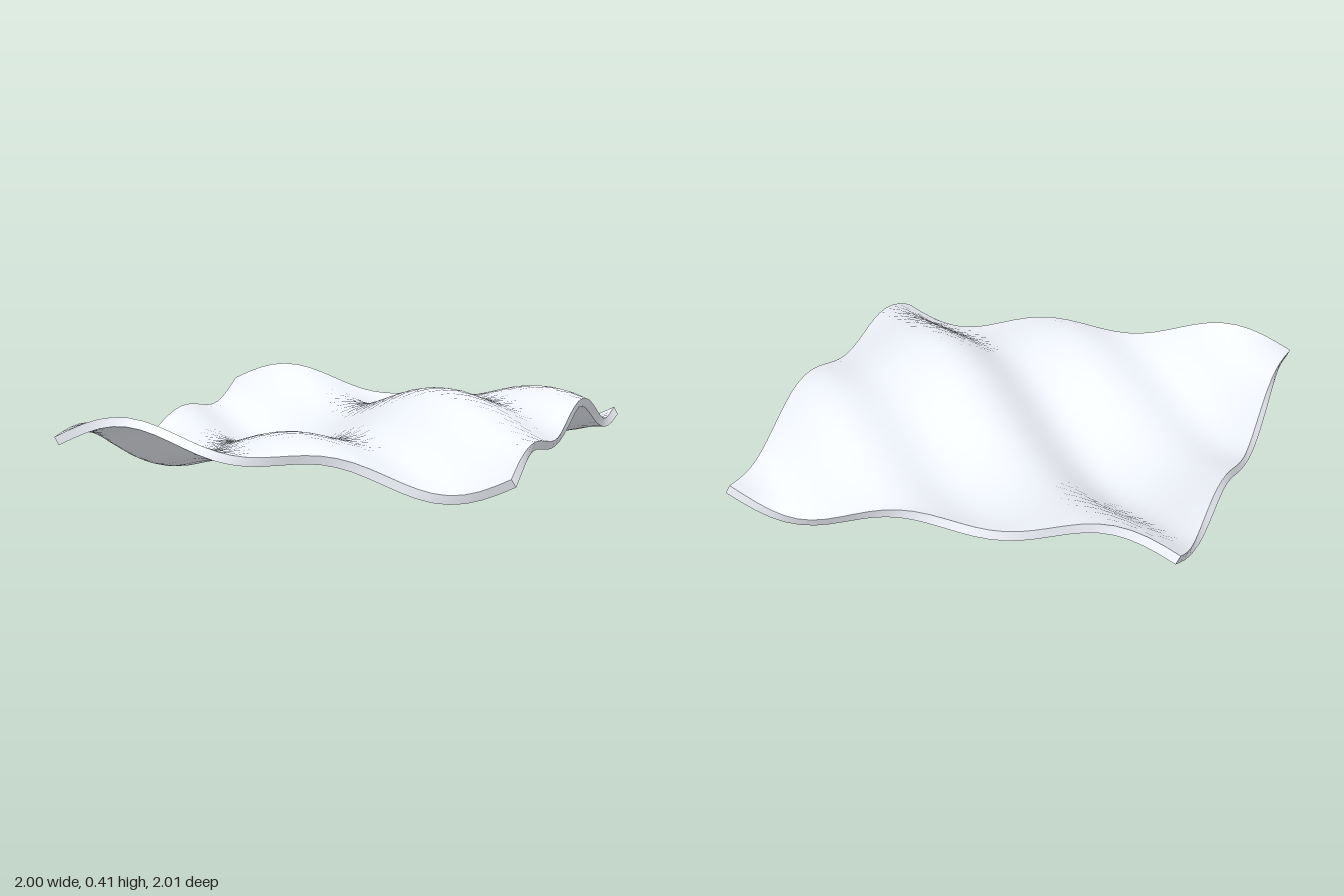
import * as THREE from 'three';

const HALF = 0.993, THICK = 0.04, MID = 0.205, SEGMENTS = 30;

// Height of the middle surface: a broad swell plus a diagonal ripple
const height = (x, z) =>
  0.158 * Math.sin(2.65 * x) * Math.cos(2.08 * z) + 0.05 * Math.sin(6.45 * (x - z));

// Unit normal of the middle surface
function normalAt(x, z) {
  const e = 0.001;
  const sx = (height(x + e, z) - height(x - e, z)) / (2 * e);
  const sz = (height(x, z + e) - height(x, z - e)) / (2 * e);
  return new THREE.Vector3(-sx, 1, -sz).normalize();
}

export function createModel() {
  const group = new THREE.Group();
  group.name = 'wavyPanel';

  // Flat slab bent along the wave, its thickness measured along the normal
  const geometry = new THREE.BoxGeometry(2 * HALF, THICK, 2 * HALF, SEGMENTS, 1, SEGMENTS);
  const pos = geometry.attributes.position;
  for (let i = 0; i < pos.count; i++) {
    const x = pos.getX(i), z = pos.getZ(i);
    const n = normalAt(x, z).multiplyScalar(pos.getY(i));
    pos.setXYZ(i, x + n.x, MID + height(x, z) + n.y, z + n.z);
  }
  // Each side keeps its own vertices, so the rim stays sharp and the faces smooth
  geometry.computeVertexNormals();

  const sheet = new THREE.Mesh(geometry, new THREE.MeshStandardMaterial({ color: 0xf0f4fb }));
  sheet.name = 'wavySheet';
  group.add(sheet);

  // Stand on the ground, centred
  const box = new THREE.Box3().setFromObject(group);
  const c = box.getCenter(new THREE.Vector3());
  sheet.position.set(-c.x, -box.min.y, -c.z);
  return group;
}
